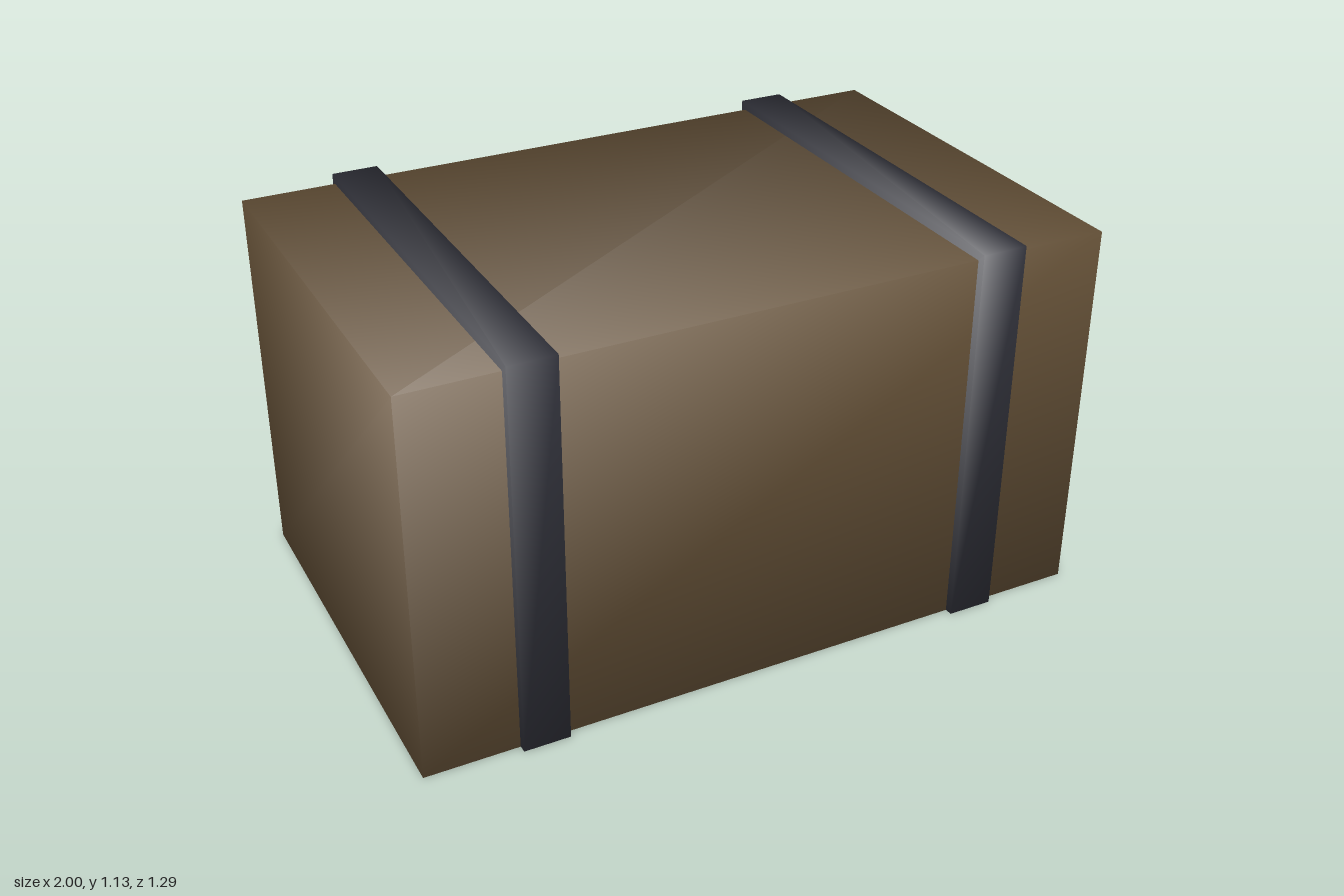
import * as THREE from 'three';

// Box standing at y = bottom, with each corner's normal shared by its three faces
function softBox(width, height, depth, bottom) {
  const geometry = new THREE.BoxGeometry(width, height, depth);
  const pos = geometry.attributes.position;
  const normal = geometry.attributes.normal;
  const n = new THREE.Vector3();
  for (let i = 0; i < pos.count; i++) {
    n.set(Math.sign(pos.getX(i)), Math.sign(pos.getY(i)), Math.sign(pos.getZ(i))).normalize();
    normal.setXYZ(i, n.x, n.y, n.z);
  }
  return geometry.translate(0, bottom + height / 2, 0);
}

export function createModel() {
  const model = new THREE.Group();
  model.name = 'strappedCrate';

  const wood = new THREE.MeshStandardMaterial({ color: 0x6b563b });
  wood.name = 'brown wood';
  const iron = new THREE.MeshStandardMaterial({ color: 0x33343d });
  iron.name = 'dark iron';

  // Main body
  const body = new THREE.Mesh(softBox(2, 1.112, 1.245, 0), wood);
  body.name = 'crateBody';
  body.position.z = -0.002;
  model.add(body);

  // Bands over the front, top and back, just clear of the underside
  for (const [name, side] of [['leftBand', 1], ['rightBand', -1]]) {
    const band = new THREE.Mesh(softBox(0.133, 1.134, 1.288, 0.001), iron);
    band.name = name;
    band.position.x = side * 0.665;
    model.add(band);
  }

  return model;
}
